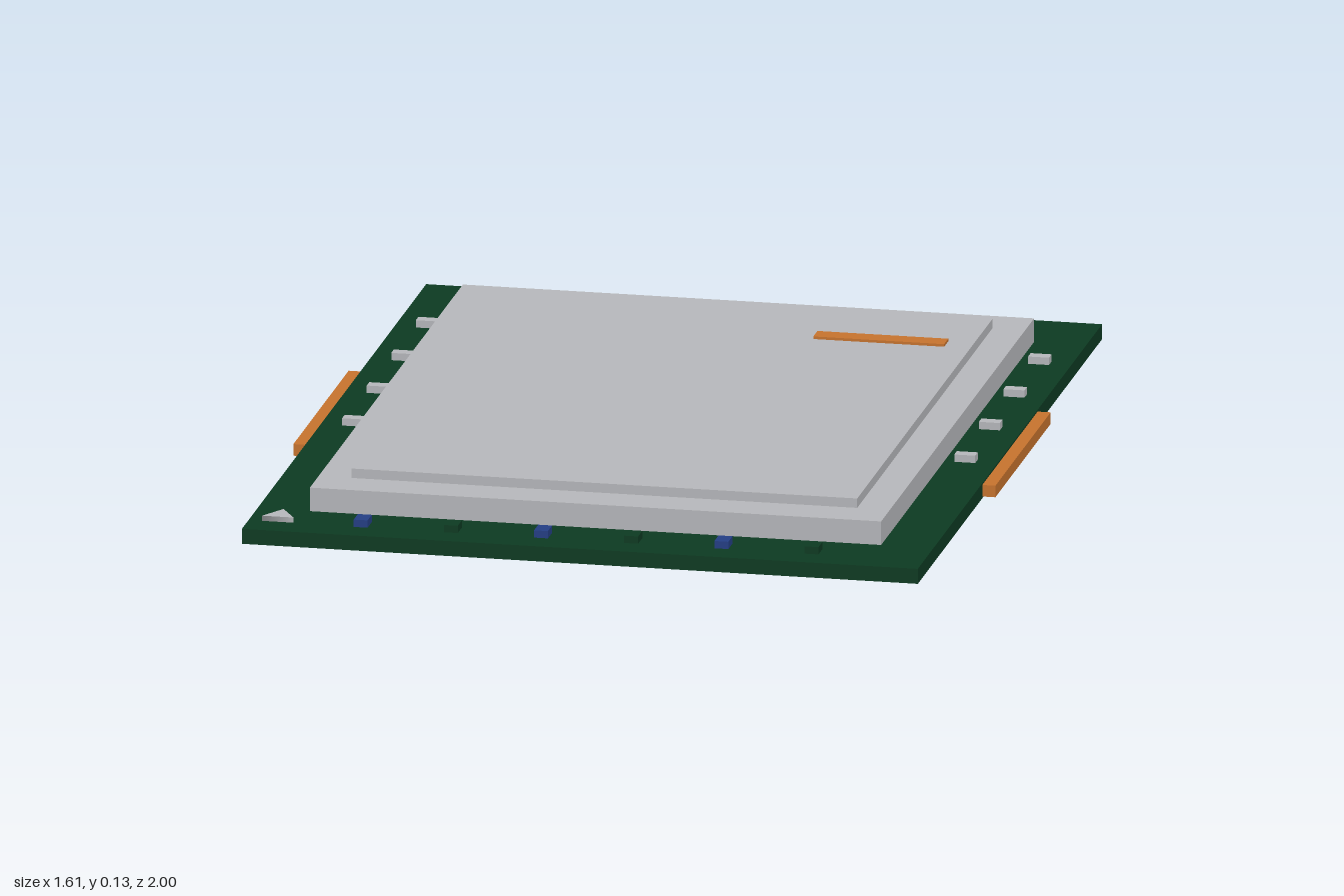
import * as THREE from 'three';

const material = (name, color) => {
  const m = new THREE.MeshStandardMaterial({ color });
  m.name = name;
  return m;
};

export function createModel() {
  const green = material('boardGreen', 0x0d3b22);
  const silver = material('silver', 0xb8b9bd);
  const copper = material('copper', 0xc8742e);
  const blue = material('blue', 0x243f86);

  const model = new THREE.Group();
  model.name = 'processorModule';

  // Box given by its centre in x and z, its footprint and its bottom and top
  const box = (name, mat, x, z, w, d, y0, y1) => {
    const mesh = new THREE.Mesh(new THREE.BoxGeometry(w, y1 - y0, d), mat);
    mesh.name = name;
    mesh.position.set(x, (y0 + y1) / 2, z);
    model.add(mesh);
  };

  // Circuit board with the contact plate beneath
  box('contactPlate', silver, 0, 0, 1.44, 1.86, 0, 0.012);
  box('board', green, 0, 0, 1.55, 2, 0.01, 0.045);

  // Stepped metal lid with a copper stripe
  box('lidBase', silver, 0, 0, 1.31, 1.66, 0.045, 0.1);
  box('lidTop', silver, 0, 0, 1.16, 1.47, 0.1, 0.122);
  box('lidStripe', copper, 0.37, -0.515, 0.3, 0.045, 0.122, 0.128);

  for (const side of [-1, 1]) {
    // Copper grips on the long edges
    box('edgeGrip', copper, side * 0.788, 0, 0.034, 0.6, 0.014, 0.041);

    // Silver components beside the lid
    for (const z of [-0.67, -0.403, -0.136, 0.131]) {
      box('sideComponent', silver, side * 0.702, z, 0.048, 0.028, 0.045, 0.062);
    }

    // Alternating blue and green components at the short edges
    for (let i = 0; i < 6; i++) {
      const mat = i % 2 ? green : blue;
      box('endComponent', mat, -0.517 + i * 0.2068, side * 0.91, 0.032, 0.046, 0.045, 0.062);
    }
  }

  // Triangular corner marker
  const marker = new THREE.Mesh(new THREE.CylinderGeometry(0.042, 0.042, 0.012, 3), silver);
  marker.name = 'cornerMarker';
  marker.rotation.y = Math.PI;
  marker.position.set(-0.708, 0.051, 0.907);
  model.add(marker);

  return model;
}
